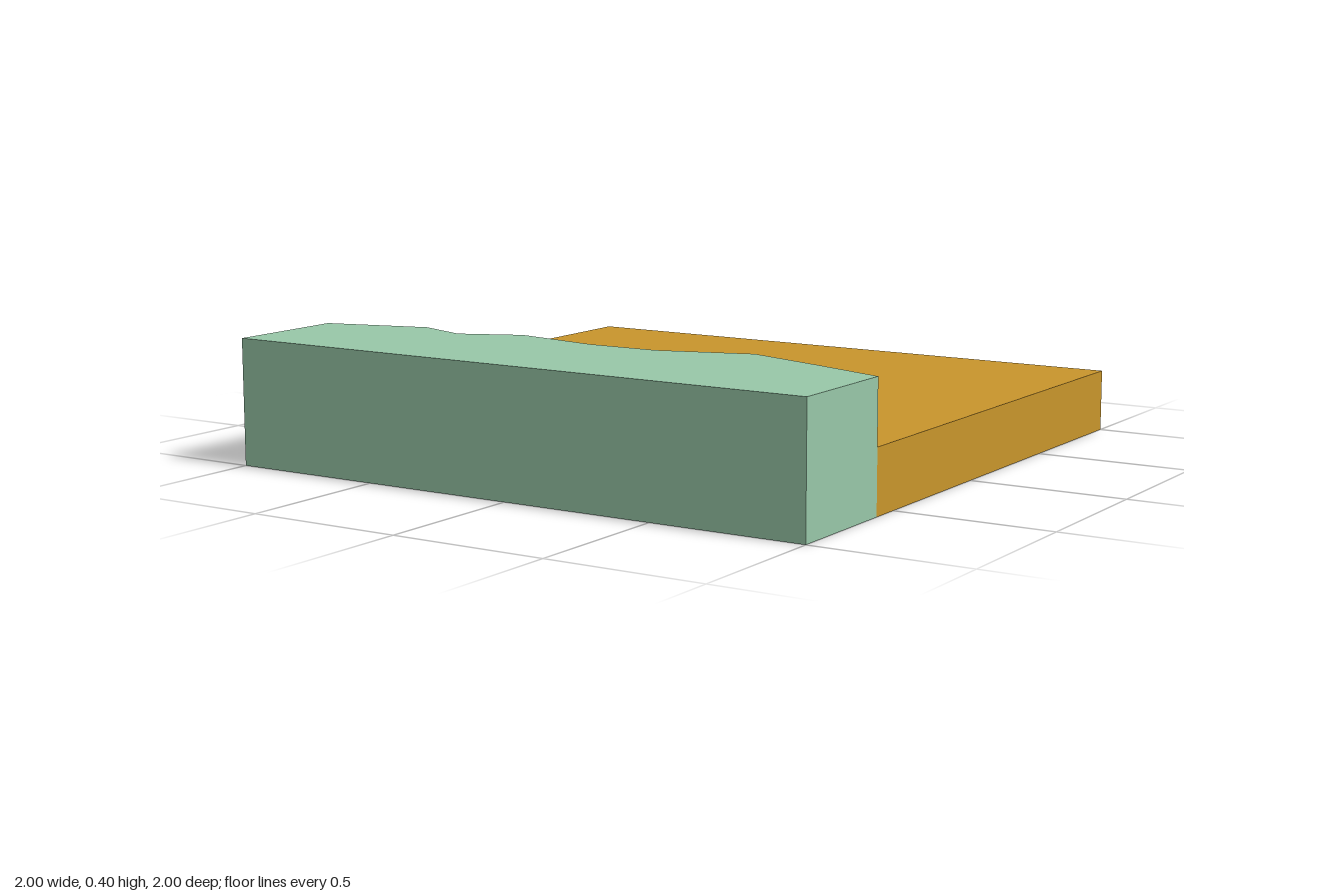
import * as THREE from 'three';

// Bank stations: x, z of the upper rim, z of the foot
const STATIONS = [
  [-1, 0.6, 0.6], [-0.67, 0.505, 0.45], [-0.5, 0.565, 0.545],
  [-0.31, 0.48, 0.41], [-0.02, 0.53, 0.42], [0.21, 0.525, 0.46],
  [0.5, 0.43, 0.31], [0.76, 0.515, 0.41], [1, 0.6, 0.6],
];

// Raised bank, skinned across its cross-sections
function bankGeometry() {
  const pos = [];
  const quad = (a, b, c, d) => pos.push(...a, ...b, ...c, ...a, ...c, ...d);
  const section = ([x, rim, foot]) => [
    [x, 0.2, foot], [x, 0.4, rim], [x, 0.4, 1], [x, 0, 1], [x, 0, 0.6],
  ];
  for (let i = 0; i < STATIONS.length - 1; i++) {
    const s = section(STATIONS[i]);
    const t = section(STATIONS[i + 1]);
    for (let j = 0; j < s.length - 1; j++) quad(s[j], s[j + 1], t[j + 1], t[j]);
  }
  // Flat ends
  for (const x of [-1, 1]) {
    const end = [[x, 0, 0.6], [x, 0.4, 0.6], [x, 0.4, 1], [x, 0, 1]];
    if (x < 0) end.reverse();
    quad(...end);
  }
  const geo = new THREE.BufferGeometry();
  geo.setAttribute('position', new THREE.Float32BufferAttribute(pos, 3));
  geo.computeVertexNormals(); // unshared corners give flat facets
  return geo;
}

export function createModel() {
  const group = new THREE.Group();
  group.name = 'terrainTile';

  const ochre = new THREE.MeshStandardMaterial({ color: 0xc8952c });
  ochre.name = 'ochre ground';
  const green = new THREE.MeshStandardMaterial({ color: 0x98c7a8 });
  green.name = 'pale green';

  // Low ground slab
  const ground = new THREE.Mesh(new THREE.BoxGeometry(2, 0.2, 1.6), ochre);
  ground.name = 'ground';
  ground.position.set(0, 0.1, -0.2);

  const bank = new THREE.Mesh(bankGeometry(), green);
  bank.name = 'bank';

  group.add(ground, bank);
  return group;
}
